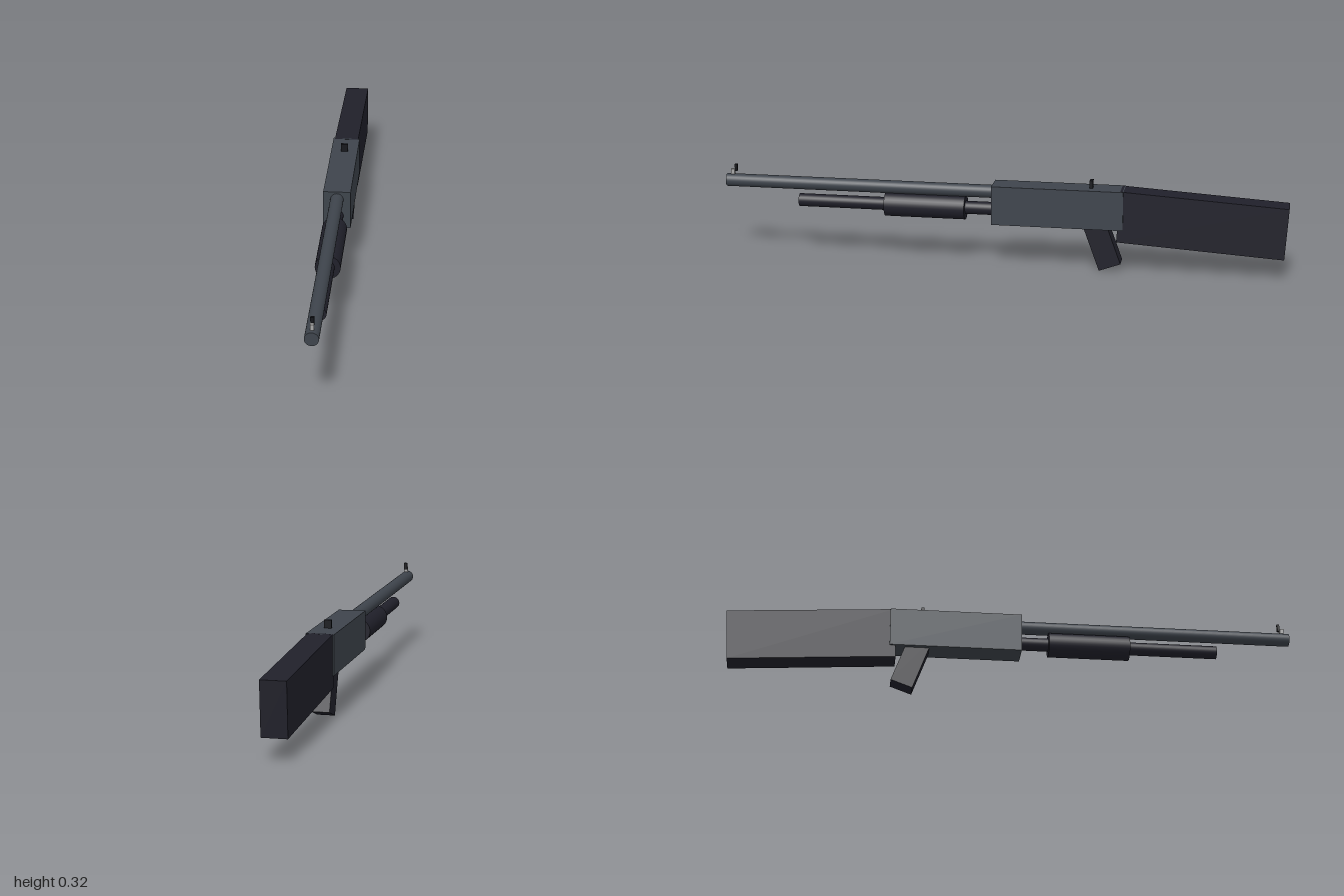
import * as THREE from 'three';

const material = (name, color) => new THREE.MeshStandardMaterial({ name, color });

export function createModel() {
  const group = new THREE.Group();
  const steel = material('gunmetal', 0x3e444c);
  const dark = material('dark polymer', 0x20202a);
  const black = material('black', 0x15161b);
  const silver = material('light bead metal', 0xa8a8a8);

  const add = (name, geometry, mat, y, z, tilt = 0) => {
    const mesh = new THREE.Mesh(geometry, mat);
    mesh.name = name;
    mesh.position.set(0, y, z);
    mesh.rotation.x = tilt;
    group.add(mesh);
  };
  const box = (name, mat, size, y, z, tilt) =>
    add(name, new THREE.BoxGeometry(...size), mat, y, z, tilt);
  // Cylinder lying along z between two stations
  const tube = (name, mat, radius, y, back, front) => {
    const geometry = new THREE.CylinderGeometry(radius, radius, front - back, 32);
    geometry.rotateX(Math.PI / 2);
    add(name, geometry, mat, y, (back + front) / 2);
  };

  // Body
  box('receiver', steel, [0.096, 0.138, 0.462], 0.223, -0.199);
  box('stock', dark, [0.086, 0.182, 0.58], 0.184, -0.703, -0.061);
  box('grip', dark, [0.062, 0.2, 0.08], 0.108, -0.351, 0.35);

  // Tubes
  tube('barrel', steel, 0.023, 0.2625, 0, 1);
  tube('magazineTube', dark, 0.023, 0.2, 0, 0.733);
  tube('foreEnd', dark, 0.043, 0.2, 0.13, 0.418);

  // Sights
  box('rearSight', black, [0.025, 0.03, 0.011], 0.305, -0.315);
  box('frontSightBase', silver, [0.012, 0.022, 0.014], 0.293, 0.978);
  box('frontSightPost', black, [0.012, 0.026, 0.008], 0.309, 0.966);

  return group;
}
